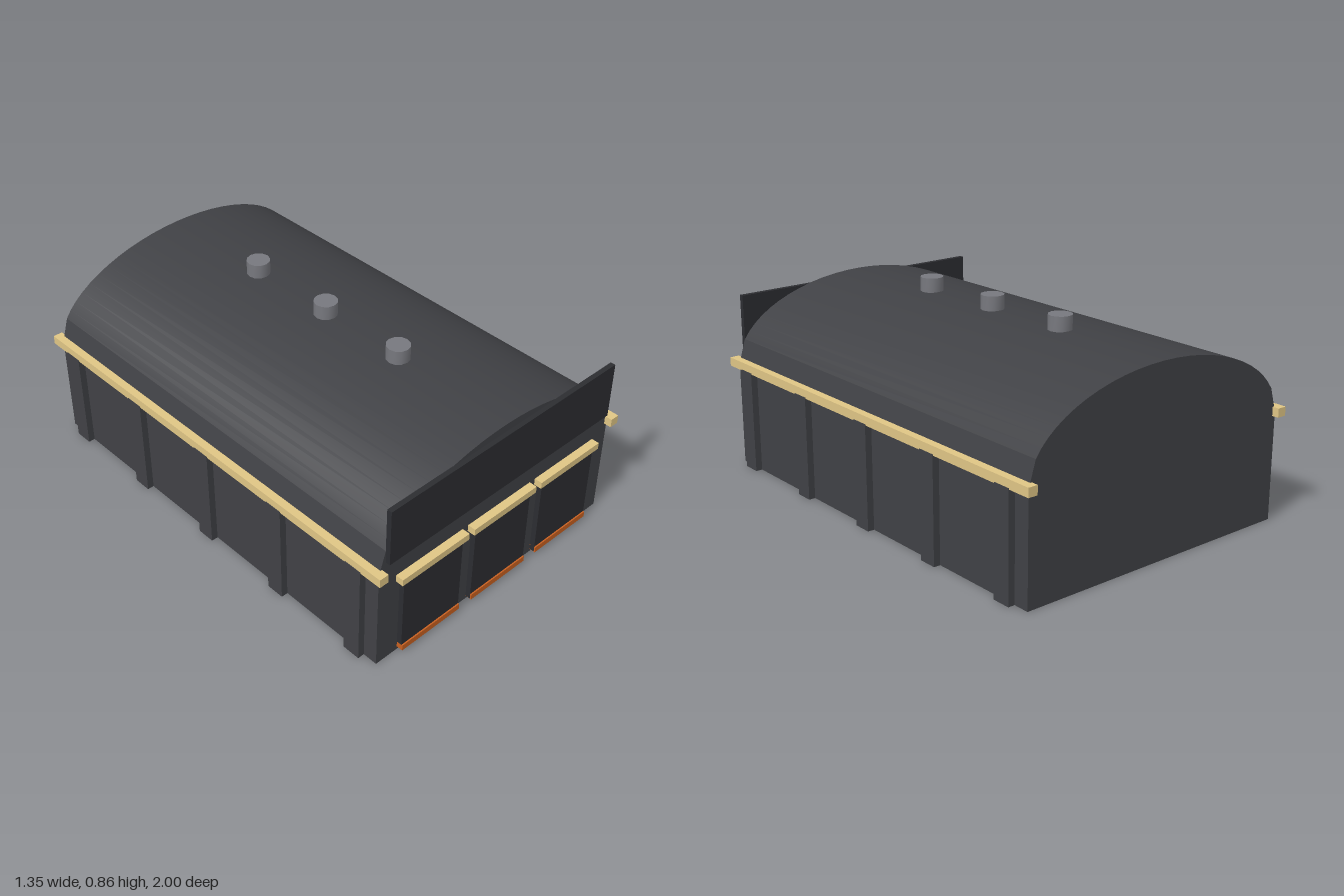
import * as THREE from 'three';
import { toCreasedNormals } from 'three/addons/utils/BufferGeometryUtils.js';

const material = (color) => new THREE.MeshStandardMaterial({ color });

export function createModel() {
  const model = new THREE.Group();
  const wall = material(0x404145);
  const dark = material(0x2c2d31);
  const trim = material(0xdfc585);
  const orange = material(0xc86020);
  const metal = material(0x77787e);

  const add = (name, geometry, mat, x, y, z) => {
    const mesh = new THREE.Mesh(geometry, mat);
    mesh.name = name;
    mesh.position.set(x, y, z);
    model.add(mesh);
    return mesh;
  };
  // Box given by its limits on each axis
  const box = (name, mat, [x0, x1], [y0, y1], [z0, z1]) =>
    add(name, new THREE.BoxGeometry(x1 - x0, y1 - y0, z1 - z0), mat,
      (x0 + x1) / 2, (y0 + y1) / 2, (z0 + z1) / 2);

  // Hall: straight walls under a barrel roof, one extruded section
  const halfWidth = 0.645, eaves = 0.46, rise = 0.334;
  const section = new THREE.Shape();
  section.moveTo(-halfWidth, 0);
  section.lineTo(halfWidth, 0);
  section.lineTo(halfWidth, eaves);
  const steps = 24;
  for (let i = 0; i <= steps; i++) {
    const a = THREE.MathUtils.degToRad(18 + (144 * i) / steps);
    section.lineTo(halfWidth * Math.cos(a), eaves + rise * Math.sin(a));
  }
  section.lineTo(-halfWidth, eaves);
  section.closePath();
  const hall = new THREE.ExtrudeGeometry(section, { depth: 1.935, bevelEnabled: false });
  add('hall', toCreasedNormals(hall, 0.25), wall, 0, 0, -0.97);

  // Eaves beams and wall pilasters on both sides
  for (const side of [-1, 1]) {
    const span = (a, b) => (side > 0 ? [a, b] : [-b, -a]);
    box('eavesBeam', trim, span(0.63, 0.672), [0.445, 0.483], [-1, 0.998]);
    for (let i = -2; i <= 2; i++) {
      const z = i * 0.43;
      box('pilaster', wall, span(0.62, 0.674), [0, 0.45], [z - 0.04, z + 0.04]);
    }
  }

  // Three gates with a lintel above and a sill strip below
  for (const x of [-0.38, 0.002, 0.384]) {
    box('gate', dark, [x - 0.156, x + 0.156], [0.015, 0.375], [0.95, 0.988]);
    box('lintel', trim, [x - 0.176, x + 0.176], [0.374, 0.404], [0.95, 1]);
    box('gateSill', orange, [x - 0.156, x + 0.156], [0.014, 0.04], [0.95, 0.994]);
  }

  // Plain fascia board across the front gable
  box('fasciaBoard', dark, [-0.612, 0.614], [0.507, 0.759], [0.963, 0.985]);

  // Roof vents along the ridge
  for (const z of [-0.412, 0, 0.408]) {
    add('roofVent', toCreasedNormals(new THREE.CylinderGeometry(0.05, 0.05, 0.09, 12), 0.7),
      metal, 0, 0.81, z);
  }

  return model;
}
